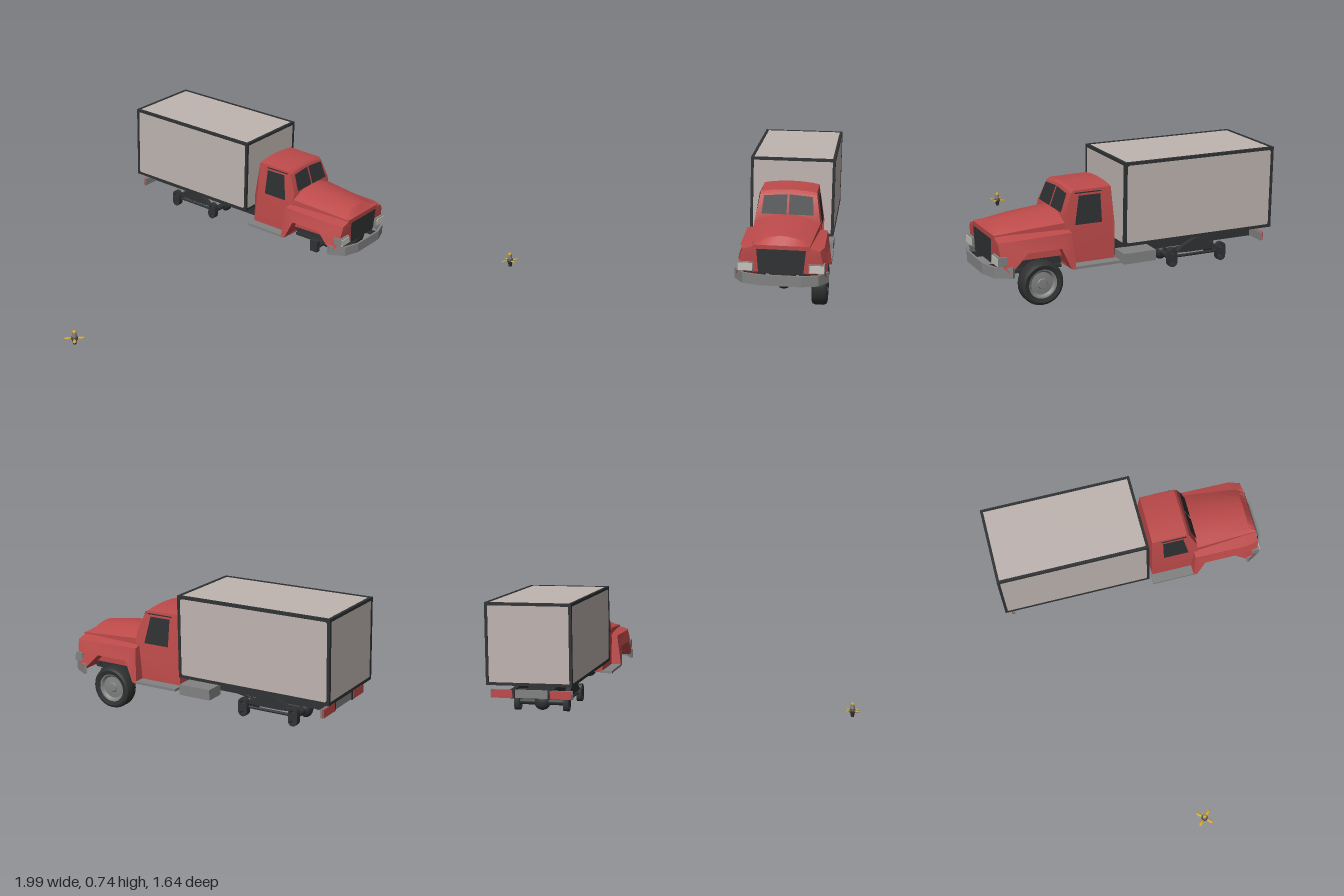
import * as THREE from 'three';
import { toCreasedNormals } from 'three/addons/utils/BufferGeometryUtils.js';

const mat = (name, color) => {
  const m = new THREE.MeshStandardMaterial({ color, side: THREE.DoubleSide });
  m.name = name;
  return m;
};

export function createModel() {
  const red = mat('red paint', 0xbd4a4a), panel = mat('cargo panel', 0xbfb5b1), dark = mat('dark trim', 0x2f3233);
  const grey = mat('grey metal', 0x828282), glass = mat('dark glass', 0x2c2f30), rubber = mat('tyre rubber', 0x303232);
  const lamp = mat('pale lamp', 0xc4c2b8), yellow = mat('yellow petal', 0xd0a52c), brown = mat('brown core', 0x4d4338);

  const model = new THREE.Group();
  const truck = new THREE.Group();
  truck.name = 'truck';
  truck.position.x = 0.745;
  model.add(truck);

  const add = (name, geo, m, x = 0, y = 0, z = 0, parent = truck) => {
    const mesh = new THREE.Mesh(geo, m);
    mesh.name = name;
    mesh.position.set(x, y, z);
    parent.add(mesh);
    return mesh;
  };
  const box = (name, m, w, h, d, x, y, z) => add(name, new THREE.BoxGeometry(w, h, d), m, x, y, z);
  // Rod between two points
  const rod = (name, m, a, b, r) => {
    const p = new THREE.Vector3(...a), q = new THREE.Vector3(...b), d = q.clone().sub(p);
    const mesh = add(name, new THREE.CylinderGeometry(r, r, d.length(), 12), m);
    mesh.position.copy(p).add(q).multiplyScalar(0.5);
    mesh.quaternion.setFromUnitVectors(new THREE.Vector3(0, 1, 0), d.normalize());
  };
  // Thin flat face from corners in order
  const plate = (name, m, pts) => {
    const g = new THREE.BufferGeometry().setFromPoints(pts.map(p => new THREE.Vector3(...p)));
    g.setIndex([0, 1, 2, 0, 2, 3]);
    g.computeVertexNormals();
    add(name, g, m);
  };
  // Side profile of [z, y] points spread across x; rule(t, y, z) gives new x and y, t from -1 to 1
  const profile = (name, m, pts, steps, rule, hole = []) => {
    const shape = new THREE.Shape(pts.map(p => new THREE.Vector2(...p)));
    hole.forEach(h => shape.holes.push(new THREE.Path(h.map(p => new THREE.Vector2(...p)))));
    const g = new THREE.ExtrudeGeometry(shape, { depth: 2, steps, bevelEnabled: false });
    g.translate(0, 0, -1);
    g.rotateY(-Math.PI / 2);
    const p = g.attributes.position;
    for (let i = 0; i < p.count; i++) {
      const [x, y] = rule(p.getX(i), p.getY(i), p.getZ(i));
      p.setX(i, x);
      p.setY(i, y);
    }
    return add(name, toCreasedNormals(g, 0.4), m);
  };
  const clamp = THREE.MathUtils.clamp, lerp = THREE.MathUtils.lerp;

  // Cargo box with dark edge beams
  const W = 0.48, y0 = 0.288, y1 = 0.738, z0 = -0.818, z1 = 0.079, b = 0.016;
  const cy = (y0 + y1) / 2, cz = (z0 + z1) / 2, H = y1 - y0, L = z1 - z0;
  box('cargoBox', panel, W - 0.006, H - 0.006, L - 0.006, 0, cy, cz);
  for (const i of [-1, 1]) for (const j of [-1, 1]) {
    const ex = i * (W - b) / 2, ey = (H - b) / 2, ez = (L - b) / 2;
    box('lengthwiseBeam', dark, b, b, L, ex, cy + j * ey, cz);
    box('uprightBeam', dark, b, H, b, ex, cy, cz + j * ez);
    box('crossBeam', dark, W, b, b, 0, cy + i * ey, cz + j * ez);
    // Corner gussets on the long sides
    for (const k of [-1, 1]) {
      const x = i * (W / 2 - 0.001), y = cy + j * (H / 2 - b), z = cz + k * (L / 2 - b);
      plate('cornerGusset', dark, [[x, y, z], [x, y - j * 0.012, z], [x, y - j * 0.004, z - k * 0.004], [x, y, z - k * 0.012]]);
    }
  }

  // Cab
  const cabHalf = y => lerp(0.187, 0.155, clamp((y - 0.4) / 0.21, 0, 1));
  profile('cab', red,
    [[0.108, 0.21], [0.385, 0.21], [0.395, 0.4], [0.39, 0.477], [0.345, 0.6], [0.33, 0.613], [0.118, 0.616], [0.108, 0.4]],
    8, (t, y) => [t * cabHalf(y), y > 0.58 ? y - 0.014 * t * t : y]);
  // Windscreen panes and side windows
  for (const s of [-1, 1]) {
    plate('windscreenPane', glass, [[s * 0.006, 0.487, 0.396], [s * 0.143, 0.487, 0.396], [s * 0.134, 0.582, 0.361], [s * 0.006, 0.592, 0.358]]);
    const w = [[0.335, 0.424], [0.182, 0.424], [0.182, 0.572], [0.305, 0.572]];
    plate('sideWindow', glass, w.map(([z, y]) => [s * (cabHalf(y) + 0.004), y, z]));
    box('roofGutter', dark, 0.008, 0.005, 0.15, s * 0.158, 0.585, 0.25);
    box('runningBoard', grey, 0.07, 0.014, 0.27, s * 0.212, 0.213, 0.235);
  }

  // Bonnet
  profile('bonnet', red,
    [[0.38, 0.27], [0.757, 0.26], [0.77, 0.41], [0.73, 0.452], [0.6, 0.47], [0.38, 0.487]],
    10, (t, y, z) => [t * lerp(0.182, 0.15, clamp((z - 0.38) / 0.39, 0, 1)), y > 0.43 ? y - 0.045 * t * t : y]);
  plate('grille', dark, [[-0.118, 0.258, 0.772], [0.118, 0.258, 0.772], [0.13, 0.39, 0.776], [-0.13, 0.39, 0.776]]);

  // Wings with wheel arches
  for (const s of [-1, 1]) {
    profile('wing', red,
      [[0.355, 0.21], [0.38, 0.21], [0.43, 0.323], [0.617, 0.323], [0.714, 0.226], [0.755, 0.268],
        [0.768, 0.36], [0.768, 0.408], [0.7, 0.413], [0.37, 0.42]],
      1, (t, y, z) => {
        const u = (1 + s * t) / 2;
        const outer = lerp(0.248, 0.222, clamp((y - 0.25) / 0.16, 0, 1)) - clamp((z - 0.7) * 0.3, 0, 0.03);
        return [s * lerp(0.125, outer, u), y > 0.4 ? y - 0.022 * u : y];
      });
    box('archLining', dark, 0.01, 0.12, 0.3, s * 0.12, 0.27, 0.53);
    box('headlampHousing', grey, 0.084, 0.048, 0.05, s * 0.188, 0.292, 0.752);
    box('headlamp', lamp, 0.076, 0.04, 0.006, s * 0.188, 0.292, 0.779);
    box('bumperBracket', dark, 0.01, 0.03, 0.12, s * 0.115, 0.235, 0.75);
  }

  // Wraparound front bumper
  const half = [[0.25, 0.705], [0.2, 0.79], [0.11, 0.82]];
  const mirror = half.map(([x, z]) => [-x, z]).reverse();
  const inner = [...half, ...mirror].map(([x, z]) => [x * 0.965, z - 0.012]).reverse();
  const bumper = new THREE.ExtrudeGeometry(
    new THREE.Shape([...half, ...mirror, ...inner].map(([x, z]) => new THREE.Vector2(x, -z))), { depth: 0.057, bevelEnabled: false });
  bumper.rotateX(-Math.PI / 2);
  add('frontBumper', bumper, grey, 0, 0.205, 0);

  // Chassis ladder
  for (const s of [-1, 1]) {
    box('chassisRail', dark, 0.025, 0.05, 1.5, s * 0.105, 0.235, -0.03);
    box('boxSill', dark, 0.03, 0.028, 0.78, s * 0.105, 0.274, -0.31);
    box('rearLamp', red, 0.12, 0.045, 0.012, s * 0.165, 0.235, -0.776);
  }
  for (let i = 0; i < 7; i++) box('chassisCrossmember', dark, 0.21, 0.035, 0.025, 0, 0.235, 0.5 - i * 0.2);
  box('rearBar', grey, 0.46, 0.045, 0.012, 0, 0.235, -0.768);
  box('fuelTank', grey, 0.11, 0.058, 0.187, 0.185, 0.22, -0.017);

  // Drivetrain
  box('engineSump', dark, 0.14, 0.1, 0.24, 0, 0.26, 0.55);
  box('transferCase', grey, 0.1, 0.05, 0.11, 0, 0.195, 0.075);
  rod('frontDriveShaft', dark, [0, 0.16, 0.52], [0, 0.197, 0.12], 0.009);
  rod('rearDriveShaft', dark, [0, 0.195, 0.02], [0, 0.152, -0.25], 0.009);
  for (const z of [0.534, -0.262, -0.562]) {
    rod('axle', dark, [-0.155, 0.154, z], [0.155, 0.154, z], 0.018);
    const diff = add('differential', new THREE.SphereGeometry(0.047, 16, 12), dark, 0, 0.154, z);
    diff.scale.z = z > 0 ? 0.9 : 0.7;
  }
  rod('rearDriveLink', dark, [0, 0.154, -0.26], [0, 0.154, -0.56], 0.009);

  // Tandem suspension with slotted axle clamps, and front leaf springs
  for (const s of [-1, 1]) {
    profile('rearSpring', dark,
      [[-0.285, 0.18], [-0.34, 0.22], [-0.4, 0.247], [-0.43, 0.247], [-0.49, 0.22], [-0.545, 0.18], [-0.48, 0.176], [-0.35, 0.176]],
      1, (t, y) => [s * 0.13 + t * 0.016, y]);
    for (const z of [-0.262, -0.562]) {
      const ring = [];
      for (let i = 0; i < 16; i++) {
        const a = (i + 0.5) * Math.PI / 8;
        ring.push([z + 0.027 * Math.cos(a), 0.155 + 0.024 * Math.sign(Math.sin(a)) + 0.027 * Math.sin(a)]);
      }
      const slot = y => [[z - 0.012, y - 0.007], [z - 0.012, y + 0.007], [z + 0.012, y + 0.007], [z + 0.012, y - 0.007]];
      profile('axleClamp', dark, ring, 1, (t, y) => [s * 0.14 + t * 0.016, y], [slot(0.182), slot(0.126)]);
    }
    rod('radiusRod', dark, [s * 0.13, 0.155, -0.262], [s * 0.13, 0.155, -0.562], 0.008);
    box('frontSpring', dark, 0.025, 0.016, 0.3, s * 0.115, 0.195, 0.534);
    box('axleEnd', dark, 0.03, 0.07, 0.05, s * 0.14, 0.167, 0.534);
  }

  // Single front wheel
  const tyreLine = [[0.078, -0.036], [0.1, -0.042], [0.112, -0.036], [0.117, -0.022], [0.117, 0.022], [0.112, 0.036], [0.1, 0.042], [0.078, 0.036], [0.078, -0.036]];
  const rimLine = [[0, -0.02], [0.06, -0.02], [0.079, -0.035], [0.079, 0.035], [0.07, 0.032], [0.06, 0.02], [0.028, 0.024], [0.024, 0.03], [0, 0.03]];
  for (const [name, line, m] of [['tyre', tyreLine, rubber], ['wheelRim', rimLine, grey]]) {
    const g = new THREE.LatheGeometry(line.map(p => new THREE.Vector2(...p)), 32);
    g.rotateZ(-Math.PI / 2);
    add(name, toCreasedNormals(g, 0.5), m, 0.197, 0.147, 0.534);
  }
  rod('wheelHub', dark, [0.13, 0.147, 0.534], [0.19, 0.147, 0.534], 0.025);

  // Small four-petalled ornament beside the truck
  const bloom = new THREE.Group();
  bloom.name = 'petalOrnament';
  bloom.position.set(-0.955, 0, 0.037);
  model.add(bloom);
  add('ornamentFoot', new THREE.CylinderGeometry(0.014, 0.009, 0.028, 10), dark, 0, 0.014, 0, bloom);
  add('ornamentCore', new THREE.SphereGeometry(0.019, 12, 8), brown, 0, 0.036, 0, bloom);
  add('ornamentNeck', new THREE.CylinderGeometry(0.012, 0.014, 0.024, 10), grey, 0, 0.06, 0, bloom);
  add('ornamentTip', new THREE.SphereGeometry(0.012, 10, 8), yellow, 0, 0.075, 0, bloom);
  for (let i = 0; i < 4; i++) {
    const g = new THREE.SphereGeometry(1, 10, 8);
    g.scale(0.022, 0.004, 0.01);
    g.translate(0.037, 0, 0);
    add('petal', g, yellow, 0, 0.038, 0, bloom).rotation.y = Math.PI / 4 + i * Math.PI / 2;
  }
  return model;
}
